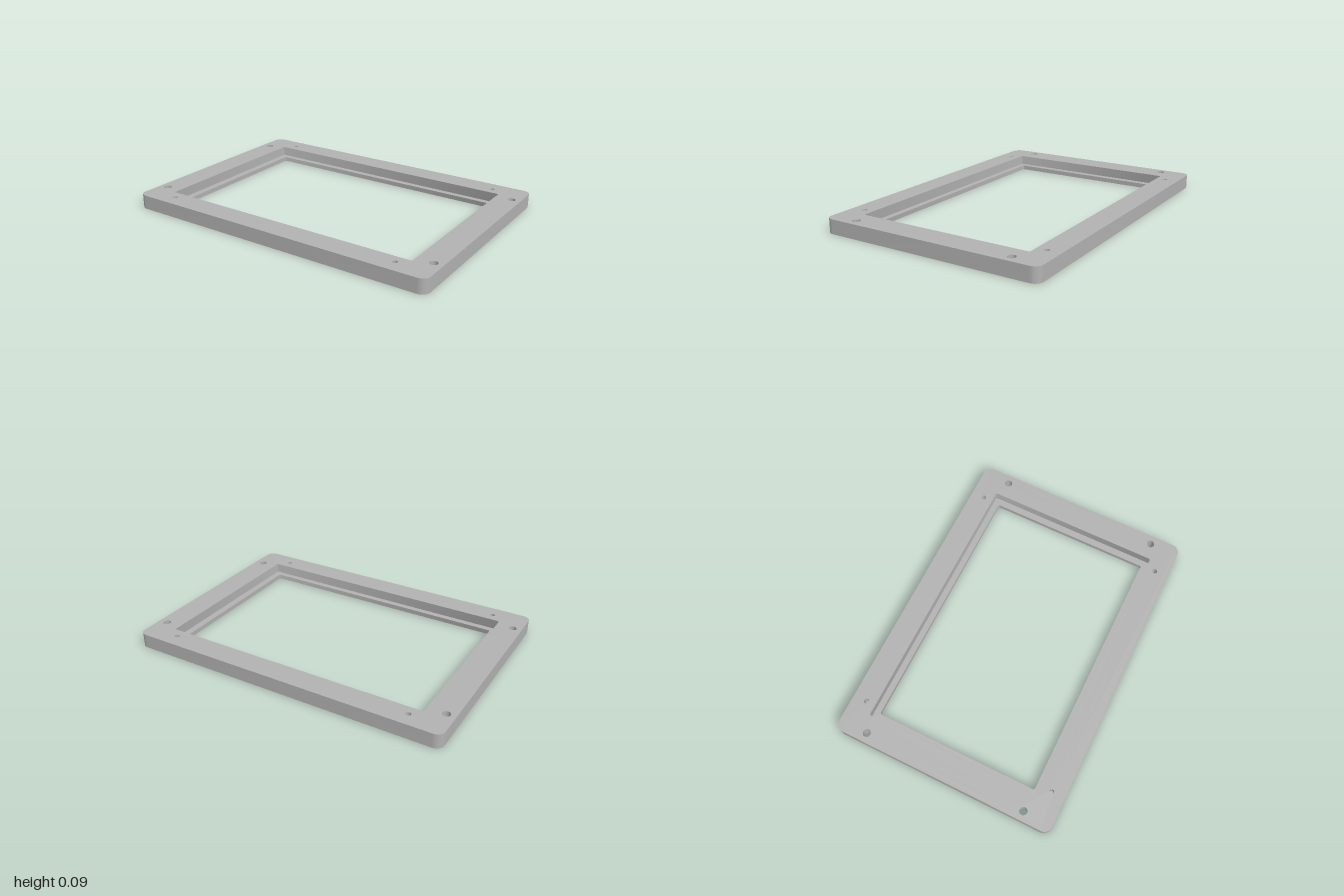
import * as THREE from 'three';
import { mergeGeometries, toCreasedNormals } from 'three/addons/utils/BufferGeometryUtils.js';

const HEIGHT = 0.088, LEDGE = 0.028;

// Rounded rectangle from half sizes and corner radius
function roundedRect(hx, hy, r) {
  const s = new THREE.Shape();
  s.absarc(hx - r, hy - r, r, 0, Math.PI / 2);
  s.absarc(-hx + r, hy - r, r, Math.PI / 2, Math.PI);
  s.absarc(-hx + r, -hy + r, r, Math.PI, Math.PI * 1.5);
  s.absarc(hx - r, -hy + r, r, Math.PI * 1.5, Math.PI * 2);
  return s;
}

function circle(x, y, r) {
  return new THREE.Shape().absarc(x, y, r, 0, Math.PI * 2);
}

// The same round hole mirrored into all four corners
function fourCircles(x, y, r) {
  return [[1, 1], [-1, 1], [-1, -1], [1, -1]].map(([a, b]) => circle(a * x, b * y, r));
}

// Flat face at one level, facing up or down
function face(outline, holes, level, down = false) {
  const s = new THREE.Shape(outline.getPoints(10));
  s.holes = holes.map((h) => new THREE.Path(h.getPoints(10)));
  const g = new THREE.ShapeGeometry(s).toNonIndexed();
  g.deleteAttribute('uv');
  g.deleteAttribute('normal');
  g.translate(0, 0, level);
  if (down) {
    const p = g.attributes.position.array;
    for (let i = 0; i < p.length; i += 9) {
      for (let k = 0; k < 3; k++) [p[i + 3 + k], p[i + 6 + k]] = [p[i + 6 + k], p[i + 3 + k]];
    }
  }
  return g;
}

// Upright wall along an outline, facing outward or into a hole
function wall(outline, low, high, inward = true) {
  const pts = outline.getPoints(10);
  if (inward) pts.reverse();
  const v = [];
  pts.forEach((p, i) => {
    const q = pts[(i + 1) % pts.length];
    if (p.distanceTo(q) < 1e-5) return;
    v.push(p.x, p.y, low, q.x, q.y, low, q.x, q.y, high);
    v.push(p.x, p.y, low, q.x, q.y, high, p.x, p.y, high);
  });
  return new THREE.BufferGeometry().setAttribute('position', new THREE.Float32BufferAttribute(v, 3));
}

export function createModel() {
  const grey = new THREE.MeshStandardMaterial({ color: 0xb2b2b2 });
  grey.name = 'grey';

  const outer = roundedRect(1, 0.698, 0.05);
  const recess = roundedRect(0.842, 0.553, 0.01);
  const opening = roundedRect(0.8, 0.516, 0.01);
  const mountingHoles = fourCircles(0.944, 0.513, 0.024);
  const screwHoles = fourCircles(0.776, 0.612, 0.015);

  const parts = [
    // Outer rim, top and underside
    wall(outer, 0, HEIGHT, false),
    face(outer, [recess, ...mountingHoles, ...screwHoles], HEIGHT),
    face(outer, [opening, ...mountingHoles], 0, true),
    // Stepped inner edge
    wall(recess, LEDGE, HEIGHT),
    face(recess, [opening], LEDGE),
    wall(opening, 0, LEDGE),
    // Through holes and blind screw holes
    ...mountingHoles.map((h) => wall(h, 0, HEIGHT)),
    ...screwHoles.map((h) => wall(h, LEDGE, HEIGHT)),
    ...screwHoles.map((h) => face(h, [], LEDGE)),
  ];

  const merged = mergeGeometries(parts);
  merged.rotateX(-Math.PI / 2);
  merged.computeVertexNormals();
  const frame = new THREE.Mesh(toCreasedNormals(merged, Math.PI / 4), grey);
  frame.name = 'bezelFrame';

  const model = new THREE.Group();
  model.name = 'panelBezel';
  model.add(frame);
  return model;
}
